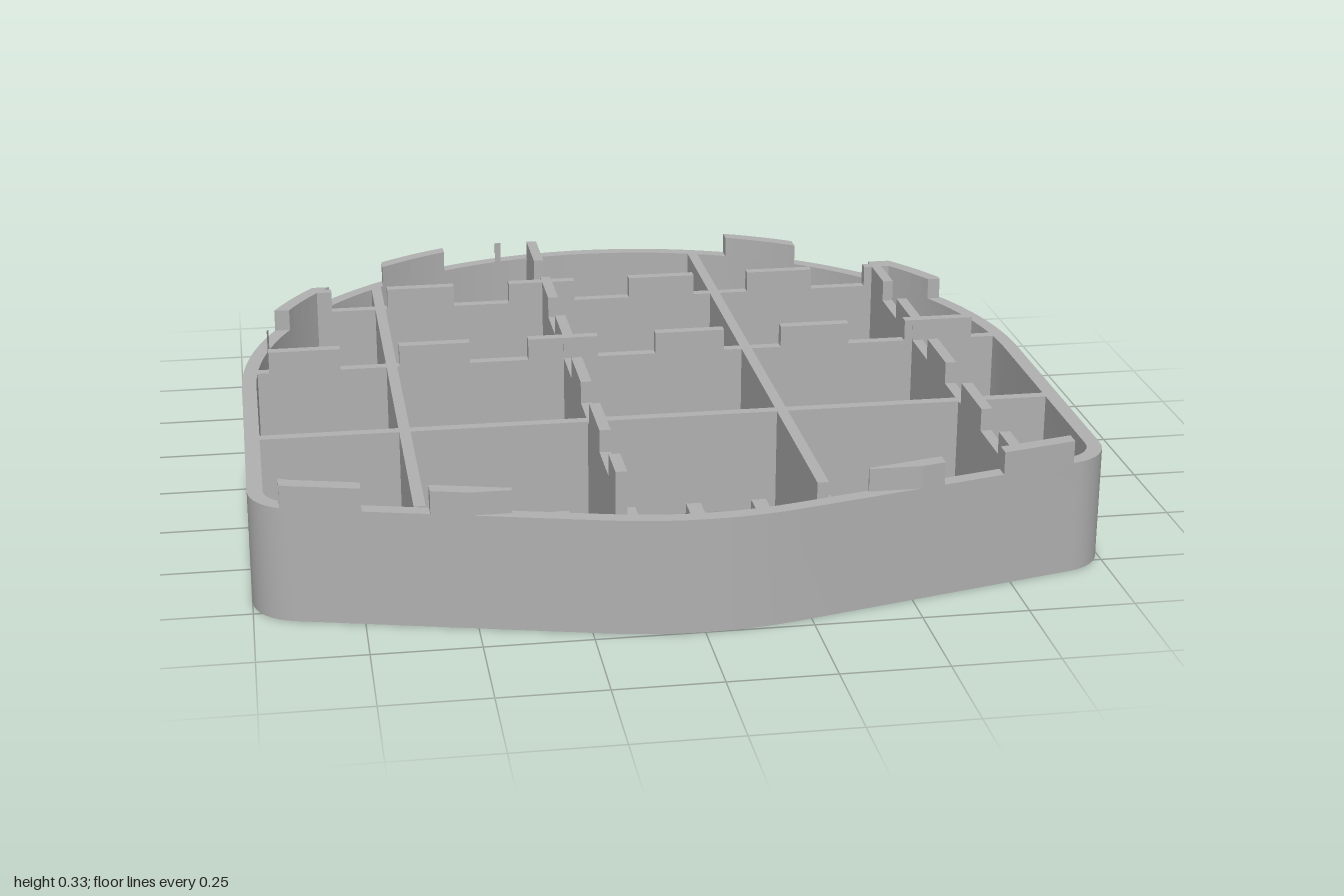
import * as THREE from 'three';
import { mergeGeometries, toCreasedNormals } from 'three/addons/utils/BufferGeometryUtils.js';

const WALL = 0.036, RIM_Y = 0.275, TOOTH_Y = 0.33, FLOOR_Y = 0.045;

// Convex tray outline in (x, z), inset by d: corner, shallow front bow, corner, round back
function outline(d) {
  const points = [];
  const arc = (cx, cz, r, from, to, n) => {
    for (let i = 0; i <= n; i++) {
      const a = THREE.MathUtils.degToRad(from + (to - from) * i / n);
      points.push(new THREE.Vector2(cx + (r - d) * Math.cos(a), cz + (r - d) * Math.sin(a)));
    }
  };
  arc(0.88, 0.685, 0.12, 0, 76, 8);
  arc(0, 0.09, 0.91, 76, 104, 10);
  arc(-0.88, 0.685, 0.12, 104, 180, 8);
  arc(0, 0, 1, 180, 360, 72);
  return points;
}

const rect = (x0, z0, x1, z1) =>
  [[x0, z0], [x1, z0], [x1, z1], [x0, z1]].map(([x, z]) => new THREE.Vector2(x, z));

// Clip a polygon to a convex counter-clockwise polygon
function clip(poly, bounds) {
  let result = poly;
  bounds.forEach((a, i) => {
    const b = bounds[(i + 1) % bounds.length];
    const side = p => (b.x - a.x) * (p.y - a.y) - (b.y - a.y) * (p.x - a.x);
    const kept = [];
    result.forEach((p, j) => {
      const q = result[(j + 1) % result.length];
      const sp = side(p), sq = side(q);
      if (sp >= 0) kept.push(p);
      if ((sp >= 0) !== (sq >= 0)) kept.push(p.clone().lerp(q, sp / (sp - sq)));
    });
    result = kept;
  });
  return result;
}

const area = poly => (poly.length < 3 ? 0 : Math.abs(THREE.ShapeUtils.area(poly)));

// Upright prism over a ground-plan polygon
function prism(poly, y0, y1, holes = []) {
  const shape = new THREE.Shape(poly);
  shape.holes = holes.map(h => new THREE.Path(h));
  return new THREE.ExtrudeGeometry(shape, { depth: y1 - y0, bevelEnabled: false })
    .rotateX(Math.PI / 2).translate(0, y1, 0);
}

export function createModel() {
  const group = new THREE.Group();
  const grey = new THREE.MeshStandardMaterial({ color: 0xb0b0b0 });
  grey.name = 'grey plastic';
  const add = (name, geometry) => {
    const mesh = new THREE.Mesh(geometry, grey);
    mesh.name = name;
    group.add(mesh);
  };
  const outer = outline(0), inner = outline(WALL);

  // Outer wall
  add('outerWall', toCreasedNormals(prism(outer, 0, RIM_Y, [inner]), 0.5));

  // Honeycomb floor, with the edge cells trimmed by a solid border
  const border = outline(0.066), holes = [];
  const pitch = 0.163, cellRadius = 0.073;
  for (let row = -8; row <= 6; row++) {
    for (let col = -7; col <= 7; col++) {
      const x = (col + (row % 2 ? 0.5 : 0)) * pitch;
      const z = 0.11 + row * pitch * Math.sqrt(3) / 2;
      const hex = [];
      for (let k = 0; k < 6; k++) {
        const a = Math.PI / 6 + k * Math.PI / 3;
        hex.push(new THREE.Vector2(x + cellRadius * Math.cos(a), z + cellRadius * Math.sin(a)));
      }
      const hole = clip(hex, border);
      if (area(hole) > 0.0003) holes.push(hole);
    }
  }
  add('honeycombFloor', prism(inner, 0, FLOOR_Y, holes));

  // Crossing dividers, trimmed to run slightly into the wall
  const half = 0.0135, reach = outline(WALL / 2);
  const dividers = [
    ...[-0.62, -0.165, 0.3, 0.755].map(x => rect(x - half, -0.94, x + half, 0.83)),
    ...[-0.567, -0.105, 0.355].map(z => rect(-0.97, z - half, 0.97, z + half)),
  ].map(r => clip(r, reach));
  add('dividers', mergeGeometries(dividers.map(d => prism(d, 0.02, RIM_Y))));

  // Raised teeth wherever walls or dividers cross a regular grid of squares
  const wallPieces = outer.map((p, i) => {
    const j = (i + 1) % outer.length;
    return [p, outer[j], inner[j], inner[i]];
  });
  const teeth = { wallTeeth: wallPieces, dividerTeeth: dividers };
  for (const [name, pieces] of Object.entries(teeth)) {
    const parts = [];
    for (let i = 0; i < 6; i++) {
      for (let j = 0; j < 6; j++) {
        const x = -0.93 + i * 0.33, z = -0.93 + j * 0.33;
        const square = rect(x, z, x + 0.18, z + 0.18);
        for (const piece of pieces) {
          const tooth = clip(piece, square);
          if (area(tooth) > 1e-5) parts.push(prism(tooth, RIM_Y, TOOTH_Y));
        }
      }
    }
    add(name, mergeGeometries(parts));
  }
  return group;
}
